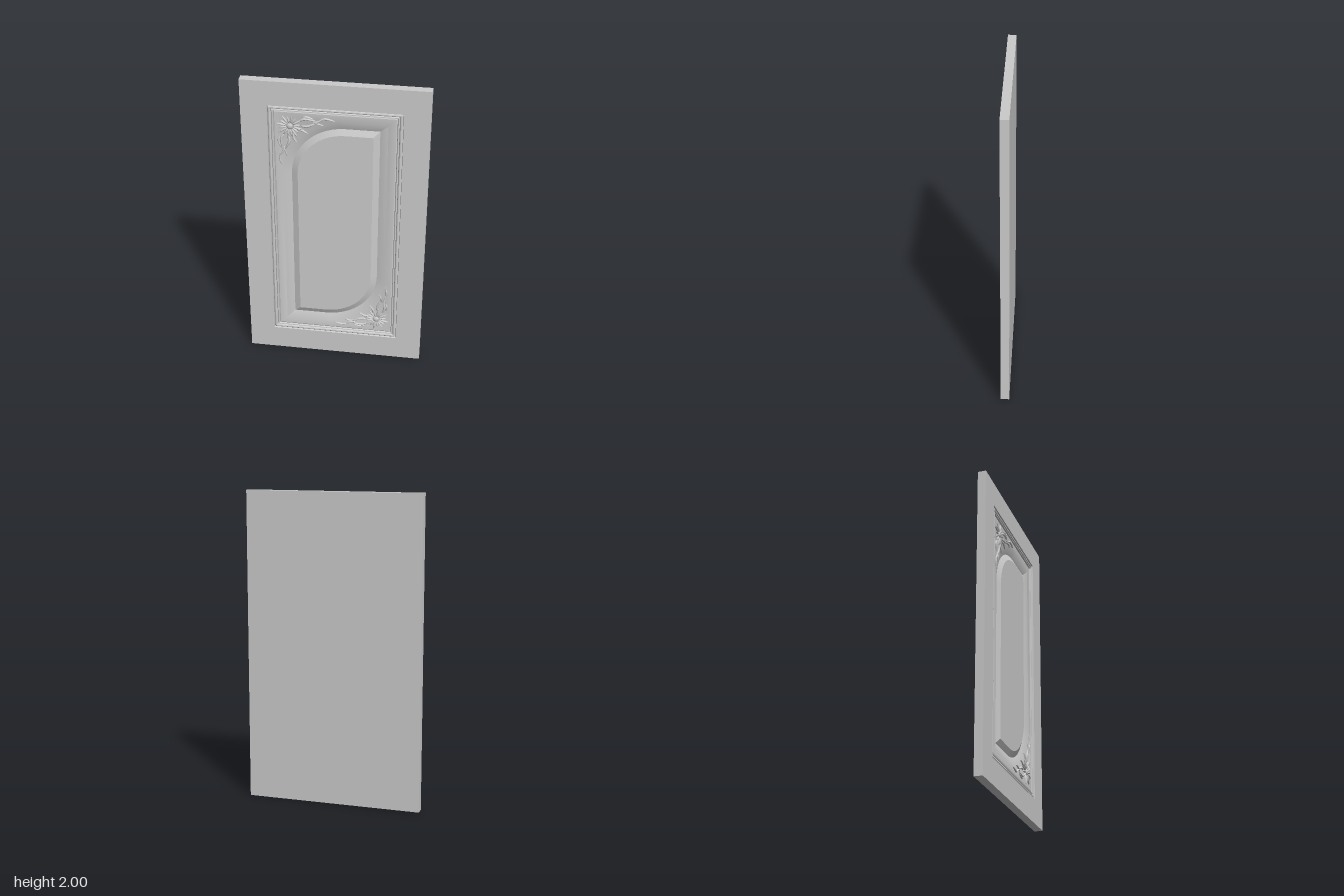
import * as THREE from 'three';
import { toCreasedNormals } from 'three/addons/utils/BufferGeometryUtils.js';

const W = 0.57, H = 1, T = 0.027, FIELD = 0.014, ARC = 24;
const material = new THREE.MeshStandardMaterial({ color: 0xcccccc });

// Outline inset by d from the door edge; top-left and bottom-right corners rounded by r
function ring(d, r, z, scale = 1) {
  const w = W - d, h = H - d, pts = [];
  const add = (x, y) => pts.push([x * scale, y * scale + H, z]);
  const arc = (cx, cy, start) => {
    for (let i = 0; i <= ARC; i++) {
      const a = start + (i / ARC) * Math.PI / 2;
      add(cx + r * Math.cos(a), cy + r * Math.sin(a));
    }
  };
  add(w, h);
  arc(-w + r, h - r, Math.PI / 2);
  add(-w, -h);
  arc(w - r, -h + r, Math.PI * 1.5);
  return pts;
}

// Skin successive outlines into one closed slab
function loft(rings) {
  const pos = [];
  for (let k = 0; k < rings.length - 1; k++) {
    const a = rings[k], b = rings[k + 1], n = a.length;
    for (let i = 0; i < n; i++) {
      const j = (i + 1) % n;
      pos.push(...a[i], ...a[j], ...b[j], ...a[i], ...b[j], ...b[i]);
    }
  }
  const g = new THREE.BufferGeometry();
  g.setAttribute('position', new THREE.Float32BufferAttribute(pos, 3));
  return toCreasedNormals(g, 0.4);
}

function mesh(name, geometry) {
  const m = new THREE.Mesh(geometry, material);
  m.name = name;
  return m;
}

// Low-relief leaf starting at (x, y), tapering to a tip and bending sideways
function leaf(x, y, degrees, length, width, bend = 0) {
  const g = new THREE.SphereGeometry(1, 16, 10);
  const p = g.attributes.position;
  for (let i = 0; i < p.count; i++) {
    const u = (p.getX(i) + 1) / 2;
    const taper = 1.15 - 0.6 * u;
    const sway = bend * Math.sin(u * Math.PI * 1.5);
    p.setXYZ(i, u * length, p.getY(i) * width * taper + sway, p.getZ(i) * 0.009);
  }
  g.computeVertexNormals();
  const m = mesh('leaf', g);
  m.position.set(x, y, FIELD);
  m.rotation.z = THREE.MathUtils.degToRad(degrees);
  return m;
}

// Leaves of the branch running along the top: x, y, angle, length, width, bend
// (offsets measured from the inner corner of the moulding)
const BRANCH = [
  [0.15, -0.055, 12, 0.10, 0.009, 0.008],
  [0.16, -0.085, 8, 0.10, 0.009, -0.008],
  [0.14, -0.115, -12, 0.07, 0.008, 0.006],
  [0.17, -0.03, 2, 0.07, 0.007, 0.006],
  [0.23, -0.055, 16, 0.08, 0.008, -0.007],
  [0.24, -0.07, 2, 0.06, 0.006, 0.005],
  [0.28, -0.035, 2, 0.09, 0.007, 0.006],
];

function cornerOrnament() {
  const group = new THREE.Group();
  group.name = 'cornerOrnament';

  // Flower with radiating petals around a small button
  const c = 0.093, petals = 16;
  for (let i = 0; i < petals; i++) {
    const a = (i / petals) * 360 + 11, t = THREE.MathUtils.degToRad(a);
    const p = leaf(c + 0.022 * Math.cos(t), -c + 0.022 * Math.sin(t), a, i % 2 ? 0.062 : 0.045, 0.007);
    p.name = 'petal';
    group.add(p);
  }
  const button = mesh('flowerCentre', new THREE.SphereGeometry(0.019, 20, 12));
  button.scale.z = 0.5;
  button.position.set(c, -c, FIELD);
  group.add(button);

  // Matching branches on both sides of the corner's diagonal
  for (const [x, y, a, l, w, b] of BRANCH) {
    group.add(leaf(x, y, a, l, w, b));
    group.add(leaf(-y, -x, -90 - a, l, w, -b));
  }
  return group;
}

export function createModel() {
  const model = new THREE.Group();
  model.name = 'cabinetDoor';

  // Moulding profile: inset from the door edge, height
  const moulding = [
    [0.16, T], [0.163, 0.017], [0.168, 0.022], [0.174, 0.024], [0.180, 0.022],
    [0.184, 0.015], [0.188, 0.020], [0.193, 0.020], [0.197, 0.011], [0.203, FIELD],
  ];
  model.add(mesh('doorPanel', loft([
    ring(0, 0, -T, 0),                 // back face
    ring(0, 0, -T),
    ring(0, 0, T),                     // edges and flat frame
    ...moulding.map(([d, z]) => ring(d, 0, z)),
    ring(0.25, 0.38, FIELD),           // recessed field
    ring(0.30, 0.33, -0.004),          // bottom of the V-groove
    ring(0.338, 0.292, 0.014),         // raised centre
    ring(0.338, 0.292, 0.014, 0),
  ])));

  // Carvings in the two rounded corners, the lower one turned half round
  for (const s of [1, -1]) {
    const o = cornerOrnament();
    o.position.set(-0.367 * s, H + 0.797 * s, 0);
    if (s < 0) o.rotation.z = Math.PI;
    model.add(o);
  }
  return model;
}
